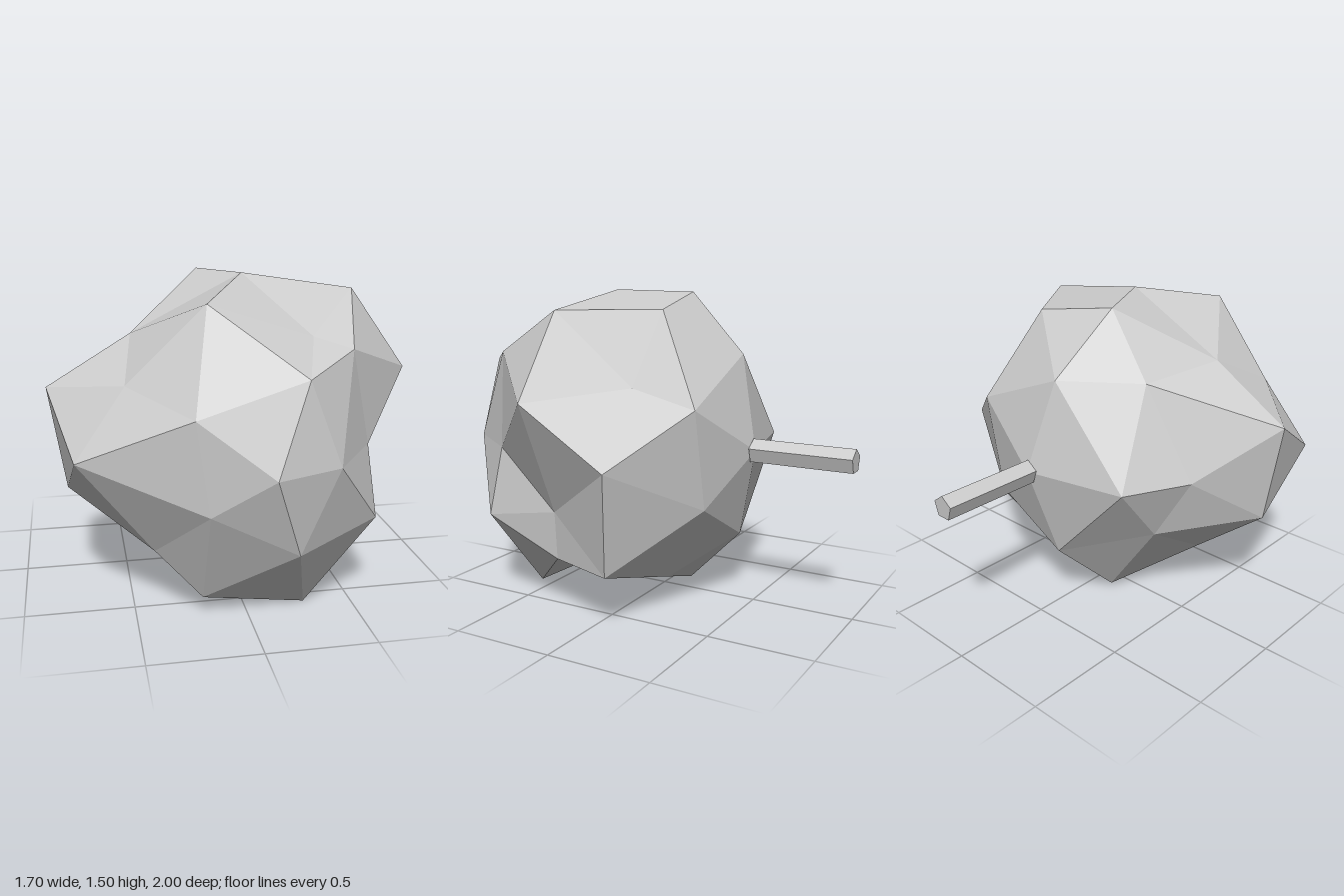
import * as THREE from 'three';

// Rings of a lumpy icosphere whose poles lie on the z axis; [x, y] in order of angle, counterclockwise.
const ring = (z, points) => points.map(([x, y]) => [x, y, z]);

const frontPole = [0.045, 0.757, 1.0];
const frontCap = ring(0.884, [[0.345, 0.757], [0.2, 1.137], [-0.267, 0.99], [-0.208, 0.574], [0.176, 0.375]]);
const frontMid = ring(0.638, [[0.46, 1.205], [-0.18, 1.416], [-0.748, 0.757], [-0.203, 0.094], [0.596, 0.423]]);
const frontRing = ring(0.578, [[0.564, 0.757], [0.295, 1.255], [-0.522, 1.07], [-0.41, 0.31], [0.28, 0]]);
const belt = ring(0.24, [
  [0.848, 1.03], [0.572, 1.416], [0.045, 1.497], [-0.468, 1.235], [-0.855, 1.0],
  [-0.778, 0.515], [-0.402, 0.21], [0.052, 0.171], [0.595, 0.262], [0.61, 0.492],
]);
const backRing = ring(-0.099, [[0.468, 1.075], [-0.112, 1.486], [-0.6, 0.757], [-0.11, 0.014], [0.71, 0.263]]);
const backMid = ring(-0.158, [[0.806, 0.757], [0.294, 1.417], [-0.373, 1.2], [-0.44, 0.46], [0.24, 0.134]]);
const backCap = ring(-0.404, [[0.447, 0.995], [-0.045, 1.2], [-0.452, 0.757], [-0.04, 0.315], [0.35, 0.524]]);
const backPole = [0.045, 0.757, -0.515];

function lumpGeometry() {
  const positions = [];
  const face = (...corners) => corners.forEach((p) => positions.push(...p));
  for (let k = 0; k < 5; k++) {
    const n = (k + 1) % 5;
    const p = (k + 4) % 5;
    const e0 = belt[2 * k];
    const e1 = belt[2 * k + 1];
    const ep = belt[(2 * k + 9) % 10];
    // front cap
    face(frontPole, frontCap[k], frontCap[n]);
    face(frontCap[k], frontRing[k], frontMid[k]);
    face(frontCap[k], frontMid[k], frontCap[n]);
    face(frontCap[n], frontMid[k], frontRing[n]);
    // belt, triangles pointing back
    face(frontRing[k], e0, frontMid[k]);
    face(frontMid[k], e0, e1);
    face(frontMid[k], e1, frontRing[n]);
    face(e0, backRing[k], e1);
    // belt, triangles pointing forward
    face(frontRing[k], ep, e0);
    face(ep, backRing[p], backMid[k]);
    face(ep, backMid[k], e0);
    face(e0, backMid[k], backRing[k]);
    // back cap
    face(backPole, backCap[n], backCap[k]);
    face(backCap[k], backMid[n], backRing[k]);
    face(backCap[k], backCap[n], backMid[n]);
    face(backCap[n], backRing[n], backMid[n]);
  }
  const geometry = new THREE.BufferGeometry();
  geometry.setAttribute('position', new THREE.Float32BufferAttribute(positions, 3));
  geometry.computeVertexNormals();
  return geometry;
}

export function createModel() {
  const group = new THREE.Group();
  group.name = 'lumpOnStem';
  const grey = new THREE.MeshStandardMaterial({ color: 0xcccccc, flatShading: true });
  grey.name = 'grey';

  const lump = new THREE.Mesh(lumpGeometry(), grey);
  lump.name = 'lump';
  group.add(lump);

  // five-sided stem running straight back from the rear pole
  const stemGeometry = new THREE.CylinderGeometry(0.058, 0.058, 0.495, 5);
  stemGeometry.rotateX(-Math.PI / 2);
  const stem = new THREE.Mesh(stemGeometry, grey);
  stem.name = 'stem';
  stem.position.set(0.045, 0.757, -0.7525);
  group.add(stem);

  return group;
}
